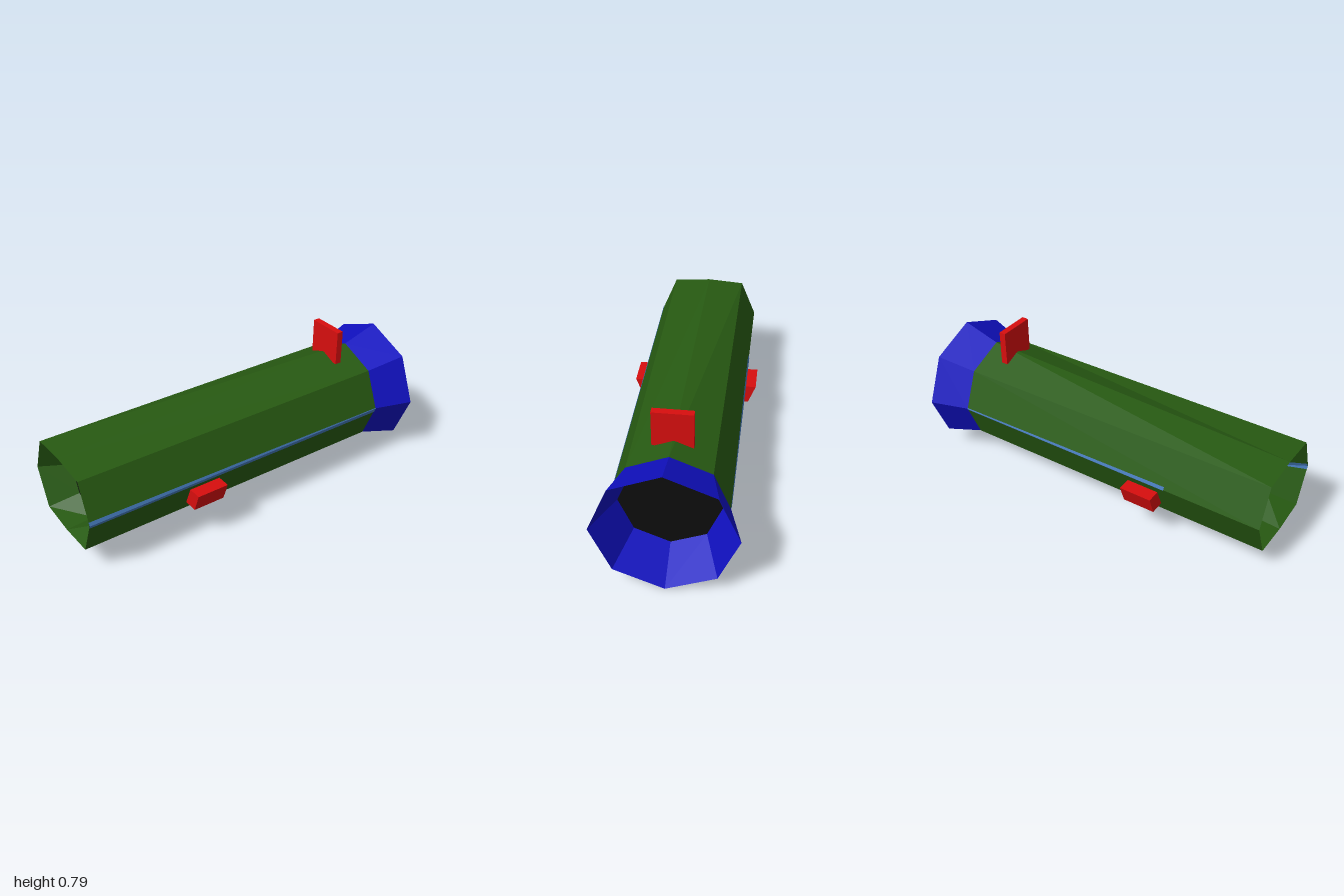
import * as THREE from 'three';

const CY = 0.352; // height of the tube axis

// Octagonal ring of points; vertical radius of top and bottom corners may differ
function ring(z, r, rv = r) {
  const pts = [];
  for (let i = 0; i <= 8; i++) {
    const a = (i * Math.PI) / 4;
    const v = i === 2 || i === 6 ? rv : r;
    pts.push([Math.cos(a) * r, CY + Math.sin(a) * v, z]);
  }
  return pts;
}

// Skin a list of cross-sections with flat, unshared faces
function loft(sections) {
  const pos = [];
  for (let s = 0; s + 1 < sections.length; s++) {
    const a = sections[s], b = sections[s + 1];
    for (let i = 0; i + 1 < a.length; i++) {
      pos.push(...a[i], ...b[i], ...a[i + 1], ...a[i + 1], ...b[i], ...b[i + 1]);
    }
  }
  const g = new THREE.BufferGeometry();
  g.setAttribute('position', new THREE.Float32BufferAttribute(pos, 3));
  g.computeVertexNormals();
  return g;
}

function material(name, color) {
  const m = new THREE.MeshStandardMaterial({ color });
  m.name = name;
  return m;
}

export function createModel() {
  const green = material('olive green', 0x275a12);
  const blue = material('deep blue', 0x1010c0);
  const red = material('red', 0xd80e0e);
  const black = material('black', 0x0d0d0d);
  const stripe = material('steel blue', 0x4478b8);
  const smudge = material('dark slate', 0x353a4a);
  stripe.side = smudge.side = THREE.DoubleSide;

  const group = new THREE.Group();
  group.name = 'launcherTube';
  const add = (name, geometry, mat) => {
    const mesh = new THREE.Mesh(geometry, mat);
    mesh.name = name;
    group.add(mesh);
    return mesh;
  };

  // Barrel: recessed muzzle, flattened front rim, then the outer wall
  add('barrel', loft([ring(0.85, 0.207), ring(1, 0.287, 0.217), ring(-0.79, 0.287)]), green);

  // Flared tail, outside and inside
  add('tailFlare', loft([ring(-0.79, 0.287), ring(-1, 0.351), ring(-0.79, 0.25)]), blue);

  // Dark discs closing both ends
  const muzzle = add('muzzleBore', new THREE.CircleGeometry(0.207, 8), black);
  muzzle.position.set(0, CY, 0.85);
  const tail = add('tailBore', new THREE.CircleGeometry(0.25, 8), black);
  tail.position.set(0, CY, -0.79);
  tail.rotation.y = Math.PI;

  // Side stripes folded over the barrel's side corners
  const fold = (side, z, low, high) => {
    const pts = [low, CY, high].map((y) => [side * (0.29 - Math.abs(y - CY) * 0.414), y, z]);
    return side > 0 ? pts : pts.reverse();
  };
  add('leftStripe', loft([fold(1, 1, 0.335, 0.37), fold(1, -0.79, 0.325, 0.356)]), stripe);
  add('rightStripe', loft([fold(-1, 0.48, 0.35, 0.37), fold(-1, -0.79, 0.348, 0.358)]), stripe);
  add('muzzleStripe', loft([
    [[0.203, 0.352, 0.853], [0.203, 0.352, 0.853], [0.191, 0.382, 0.853]],
    [[0.276, 0.335, 1], [0.283, 0.352, 1], [0.276, 0.37, 1]],
  ]), stripe);

  // Small dark marks beside the bottom corner
  for (const [z0, z1] of [[0.95, 0.55], [-0.35, -0.6]]) {
    const bottom = (z) => 0.132 - ((1 - z) / 1.79) * 0.07;
    add('undersideMark', loft([
      [[0, bottom(z0), z0], [0.012, bottom(z0) + 0.002, z0]],
      [[0, bottom(z1), z1], [0.012, bottom(z1) + 0.004, z1]],
    ]), smudge);
  }

  // Upright rear sight
  const sight = add('rearSight', new THREE.BoxGeometry(0.2, 0.19, 0.036), red);
  sight.position.set(0, 0.695, -0.652);

  // Slanted side grips
  for (const s of [1, -1]) {
    const shape = new THREE.Shape(
      [[0.2, 0.304], [0.2, 0.198], [0.302, 0.198], [0.342, 0.304]].map(([x, y]) => new THREE.Vector2(s * x, y)),
    );
    const grip = add(s > 0 ? 'leftGrip' : 'rightGrip',
      new THREE.ExtrudeGeometry(shape, { depth: 0.175, bevelEnabled: false }), red);
    grip.position.z = 0.26;
  }

  return group;
}
